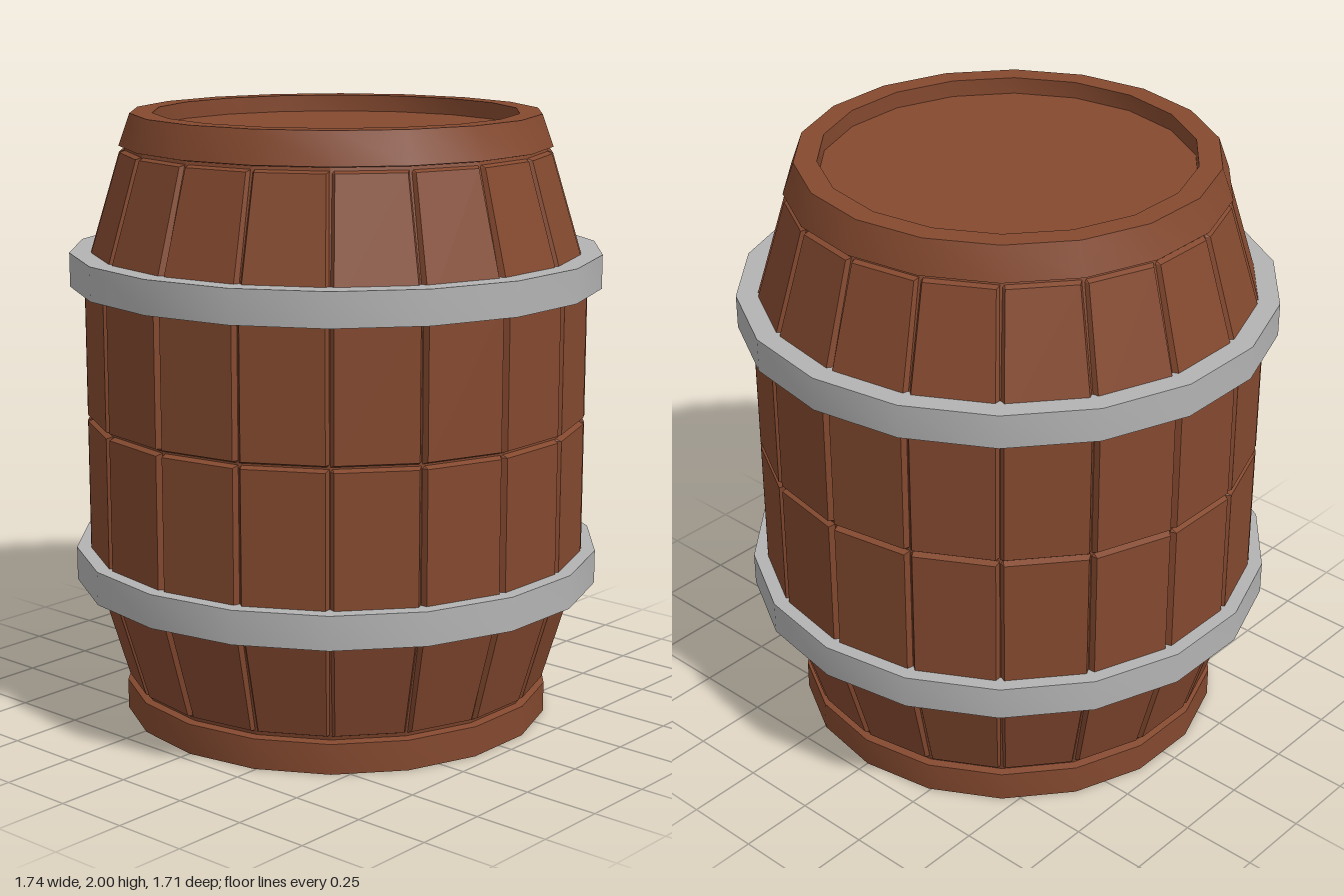
import * as THREE from 'three';
import { toCreasedNormals } from 'three/addons/utils/BufferGeometryUtils.js';

const SIDES = 18;
const STEP = (Math.PI * 2) / SIDES;

// Faceted ring of revolution with a corner on the x axis
function turned(name, profile, material, crease = 0.6) {
  const points = profile.map(([r, y]) => new THREE.Vector2(r, y));
  const geometry = new THREE.LatheGeometry(points, SIDES, Math.PI / 2);
  const mesh = new THREE.Mesh(toCreasedNormals(geometry, crease), material);
  mesh.name = name;
  return mesh;
}

// Flat-faced stave with bevelled edges, lying along +z; rows are [corner radius, y]
function staveGeometry(rows) {
  const gap = 0.004, bevel = 0.009, depth = 0.022;
  const first = rows[0], last = rows[rows.length - 1];
  const loops = [
    [first[0], first[1] - bevel, depth],
    ...rows.map(([r, y]) => [r, y, 0]),
    [last[0], last[1] + bevel, depth],
  ];
  const positions = [], index = [];
  for (const [r, y, sink] of loops) {
    const z = r * Math.cos(STEP / 2);
    const half = r * Math.sin(STEP / 2) - gap;
    positions.push(-half, y, z - depth, -half + bevel, y, z - sink,
      half - bevel, y, z - sink, half, y, z - depth);
  }
  for (let j = 0; j < loops.length - 1; j++) {
    for (let i = 0; i < 3; i++) {
      const a = j * 4 + i, b = a + 1, c = a + 5, d = a + 4;
      index.push(a, b, c, a, c, d);
    }
  }
  const geometry = new THREE.BufferGeometry();
  geometry.setAttribute('position', new THREE.Float32BufferAttribute(positions, 3));
  geometry.setIndex(index);
  return toCreasedNormals(geometry, 0.1);
}

export function createModel() {
  const wood = new THREE.MeshStandardMaterial({ color: 0x84492f });
  wood.name = 'brown wood';
  const metal = new THREE.MeshStandardMaterial({ color: 0xb3b3b3 });
  metal.name = 'grey metal';

  const barrel = new THREE.Group();
  barrel.name = 'barrel';

  // Inner body seen at the bottom of the grooves
  barrel.add(turned('innerBody',
    [[0.68, 0.09], [0.805, 0.53], [0.805, 1.48], [0.68, 1.91]], wood, 0.1));

  // Lower and upper rows of staves
  const staves = new THREE.Group();
  staves.name = 'staves';
  const halves = {
    lowerStave: staveGeometry([[0.705, 0.124], [0.825, 0.53], [0.825, 0.999]]),
    upperStave: staveGeometry([[0.825, 1.021], [0.825, 1.48], [0.705, 1.876]]),
  };
  for (const [name, geometry] of Object.entries(halves)) {
    for (let i = 0; i < SIDES; i++) {
      const stave = new THREE.Mesh(geometry, wood);
      stave.name = name;
      stave.rotation.y = i * STEP;
      staves.add(stave);
    }
  }
  barrel.add(staves);

  // Closed base, and tapered rim around the recessed lid
  barrel.add(turned('base',
    [[0, 0], [0.71, 0], [0.71, 0.1], [0.67, 0.108]], wood));
  barrel.add(turned('topRim',
    [[0.67, 1.89], [0.705, 1.897], [0.668, 2], [0.595, 2], [0.595, 1.94]], wood));
  barrel.add(turned('lid', [[0.6, 1.945], [0, 1.945]], wood));

  // Metal hoops
  for (const [name, y] of [['lowerHoop', 0.46], ['upperHoop', 1.445]]) {
    const top = y + 0.11;
    barrel.add(turned(name,
      [[0.785, y], [0.87, y], [0.87, top], [0.785, top], [0.785, y]], metal));
  }
  return barrel;
}
